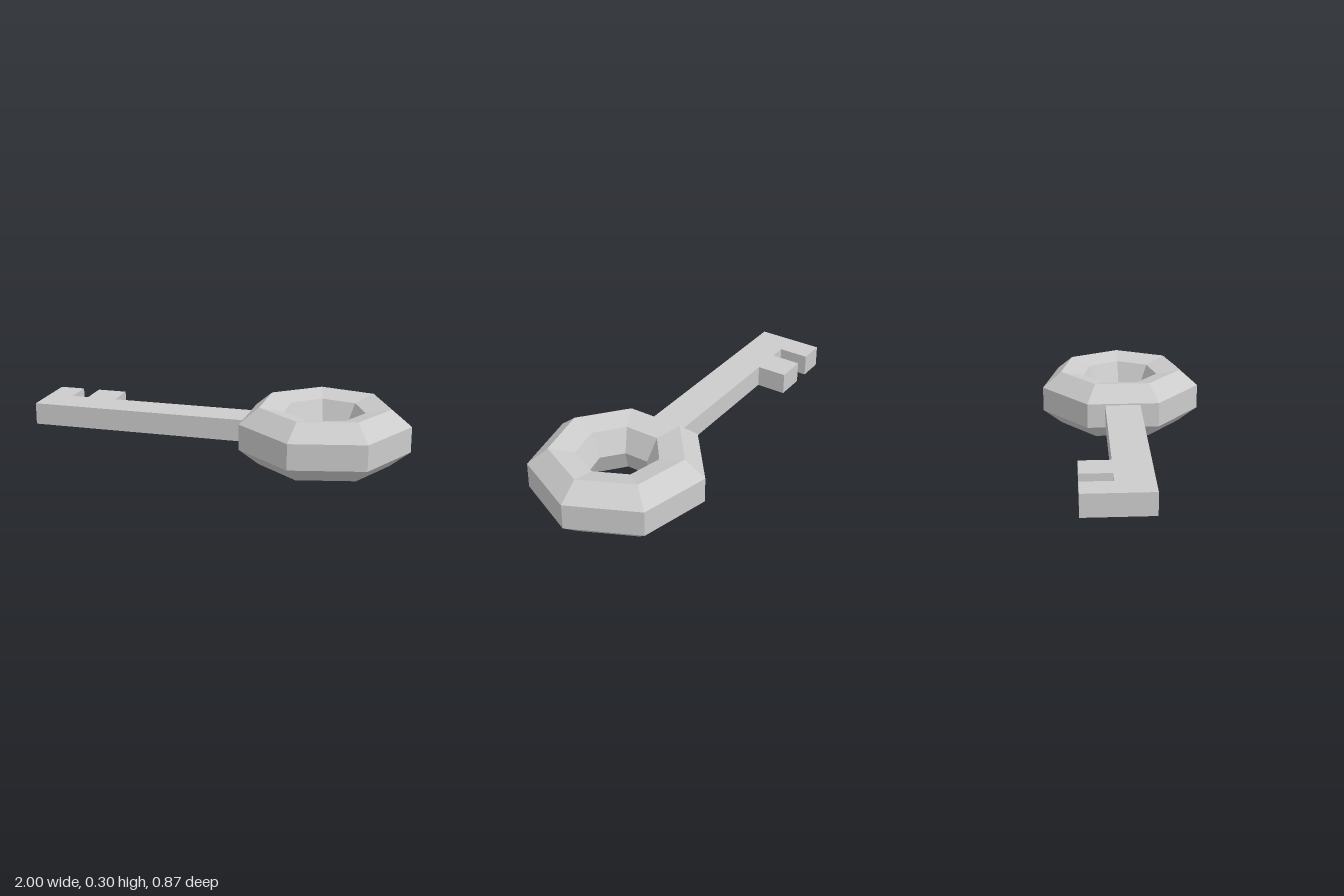
import * as THREE from 'three';

const SIDES = 7;

export function createModel() {
  const group = new THREE.Group();
  const material = new THREE.MeshStandardMaterial({ color: 0xcccccc, flatShading: true });

  // Bow: seven-sided ring with a seven-sided section, a corner facing the hole
  const ringRadius = 0.306, tubeRadius = 0.1535;
  const section = [];
  for (let i = 0; i <= SIDES; i++) {
    const a = Math.PI + (i / SIDES) * Math.PI * 2;
    section.push(new THREE.Vector2(ringRadius + tubeRadius * Math.cos(a), tubeRadius * Math.sin(a)));
  }
  const bow = new THREE.Mesh(new THREE.LatheGeometry(section, SIDES, Math.PI / 2), material);
  bow.name = 'bow';
  bow.position.set(0.556, 0.15, 0);
  group.add(bow);

  // Shaft and its two teeth, one flat outline pushed up (outline y is -z)
  const outline = [
    [-1, -0.092], [0.2, -0.092], [0.2, 0.097], [-0.615, 0.097], [-0.615, 0.257],
    [-0.775, 0.257], [-0.775, 0.097], [-0.865, 0.097], [-0.865, 0.257], [-1, 0.257],
  ].map(([x, y]) => new THREE.Vector2(x, y));
  const shaftGeometry = new THREE.ExtrudeGeometry(new THREE.Shape(outline), {
    depth: 0.115, bevelEnabled: false,
  });
  shaftGeometry.rotateX(-Math.PI / 2);
  const shaft = new THREE.Mesh(shaftGeometry, material);
  shaft.name = 'shaftWithTeeth';
  shaft.position.y = 0.094;
  group.add(shaft);

  return group;
}
